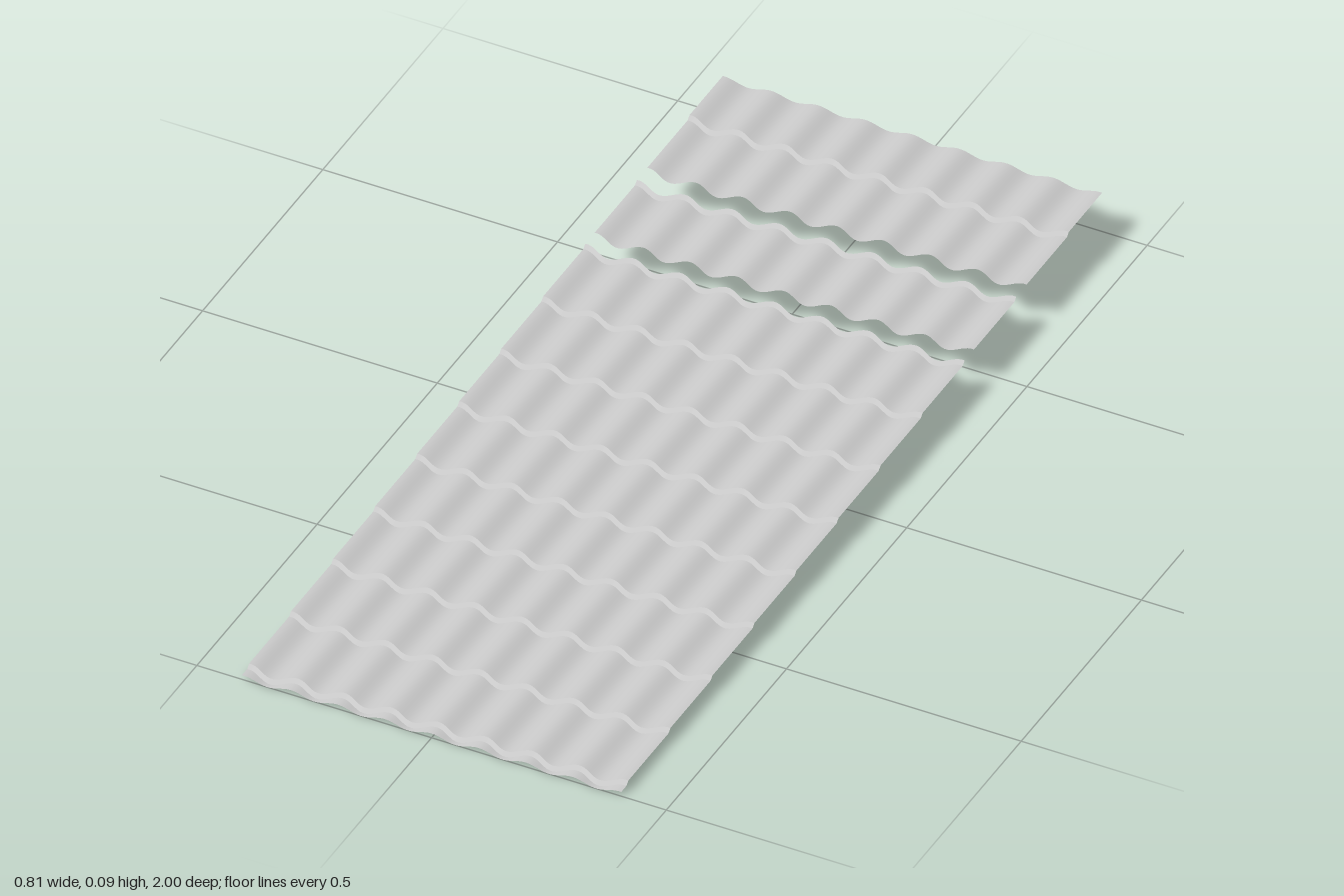
import * as THREE from 'three';

const HALF_WIDTH = 0.404;
const WAVE = 0.005;   // half the height of the corrugation
const SCALLOP = 0.006; // how far crests set the steps back
const STEP = 0.00745;
const RUN = 0.004;    // half the depth of a step's riser

const material = new THREE.MeshStandardMaterial({ color: 0xcccccc, side: THREE.DoubleSide });
const wave = (x) => Math.cos((x / 0.1) * Math.PI * 2);

// One corrugated strip between two cross lines { z, y, scallop }
function strip(name, front, back) {
  const geometry = new THREE.PlaneGeometry(HALF_WIDTH * 2, 1, 128, 1);
  const p = geometry.attributes.position;
  for (let i = 0; i < p.count; i++) {
    const x = p.getX(i);
    const line = p.getY(i) > 0 ? back : front;
    p.setXYZ(i, x, line.y + WAVE * (1 + wave(x)), line.z - line.scallop * wave(x));
  }
  geometry.computeVertexNormals();
  const mesh = new THREE.Mesh(geometry, material);
  mesh.name = name;
  return mesh;
}

// A sheet section runs from front to back, rising one step at each given z
function section(name, front, risers, back, startY) {
  const group = new THREE.Group();
  group.name = name;
  let y = startY;
  let line = { ...front, y };
  for (const z of risers) {
    const foot = { z: z + RUN, y, scallop: SCALLOP };
    y += STEP;
    const head = { z: z - RUN, y, scallop: SCALLOP };
    group.add(strip('tileCourse', line, foot), strip('stepRiser', foot, head));
    line = head;
  }
  // Flat course behind the last riser, if the section continues
  if (back) group.add(strip('tileCourse', line, { ...back, y }));
  return group;
}

export function createModel() {
  const model = new THREE.Group();
  model.name = 'corrugatedRoofTileSheet';

  // Long lower sheet with nine steps, ending on a riser
  const lowerRisers = Array.from({ length: 9 }, (_, i) => 0.98 - i * 0.1748);
  model.add(section('lowerSheet', { z: 1, scallop: 0 }, lowerRisers, null, 0));

  // Single loose course
  model.add(section('middleSheet', { z: -0.461, scallop: SCALLOP }, [-0.633], null, STEP * 9));

  // Upper sheet with a straight back edge
  model.add(section('upperSheet', { z: -0.68, scallop: SCALLOP }, [-0.852],
    { z: -1, scallop: 0 }, STEP * 10));

  return model;
}
